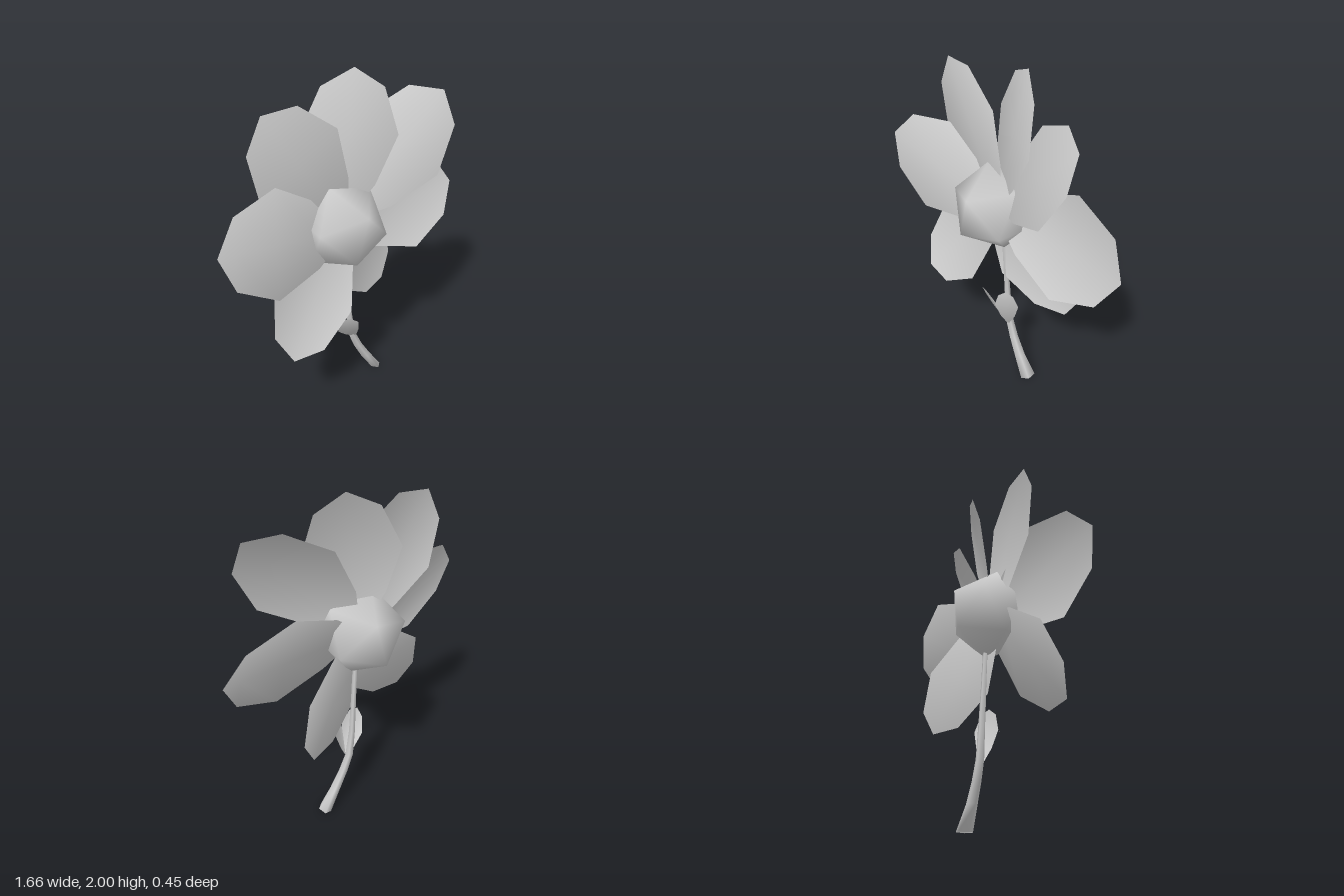
import * as THREE from 'three';

const grey = new THREE.MeshStandardMaterial({ color: 0xcccccc });
const sheet = new THREE.MeshStandardMaterial({ color: 0xcccccc, side: THREE.DoubleSide });

// Half outline shared by petals and leaves: [distance along, half width]
const OUTLINE = [[0, 0.12], [0.23, 0.62], [0.57, 1], [0.88, 0.63], [1, 0]];

// Thin blade running from base to tip, with softly domed normals
function blade(name, base, tip, half) {
  const b = new THREE.Vector3(...base);
  const along = new THREE.Vector3(...tip).sub(b);
  const across = new THREE.Vector3(...half);
  const normal = across.clone().cross(along).normalize();
  const alongDir = along.clone().normalize();
  const acrossDir = across.clone().normalize();
  const positions = [], normals = [], index = [];
  OUTLINE.forEach(([u, w], row) => {
    for (const side of [-1, 0, 1]) {
      const p = b.clone().addScaledVector(along, u).addScaledVector(across, w * side);
      const n = normal.clone()
        .addScaledVector(acrossDir, 0.35 * side * w)
        .addScaledVector(alongDir, 0.5 * (u - 0.5))
        .normalize();
      positions.push(...p.toArray());
      normals.push(...n.toArray());
    }
    if (row === 0) return;
    for (let c = 0; c < 2; c++) {
      const i = (row - 1) * 3 + c;
      index.push(i, i + 1, i + 4, i, i + 4, i + 3);
    }
  });
  const g = new THREE.BufferGeometry();
  g.setAttribute('position', new THREE.Float32BufferAttribute(positions, 3));
  g.setAttribute('normal', new THREE.Float32BufferAttribute(normals, 3));
  g.setIndex(index);
  const mesh = new THREE.Mesh(g, sheet);
  mesh.name = name;
  return mesh;
}

// Five-sided tapering tube with horizontal rings; rows are [x, y, z, radiusX, radiusZ]
function stemGeometry(rows, sides) {
  const positions = [], index = [];
  rows.forEach(([x, y, z, rx, rz], r) => {
    for (let s = 0; s < sides; s++) {
      const a = (s / sides) * Math.PI * 2;
      positions.push(x + rx * Math.sin(a), y, z + rz * Math.cos(a));
      if (r === 0) continue;
      const n = (s + 1) % sides, lo = (r - 1) * sides, hi = r * sides;
      index.push(lo + s, lo + n, hi + n, lo + s, hi + n, hi + s);
    }
  });
  for (let s = 1; s < sides - 1; s++) index.push(0, s + 1, s); // bottom cap
  const g = new THREE.BufferGeometry();
  g.setAttribute('position', new THREE.Float32BufferAttribute(positions, 3));
  g.setIndex(index);
  g.computeVertexNormals();
  return g;
}

export function createModel() {
  const model = new THREE.Group();
  model.name = 'flower';

  // Flower centre: smooth-shaded icosahedron
  const ball = new THREE.IcosahedronGeometry(0.258, 0);
  const p = ball.attributes.position, v = new THREE.Vector3();
  for (let i = 0; i < p.count; i++) {
    v.fromBufferAttribute(p, i).normalize();
    ball.attributes.normal.setXYZ(i, v.x, v.y, v.z);
  }
  const centre = new THREE.Mesh(ball, grey);
  centre.name = 'flowerCentre';
  centre.position.set(-0.04, 1.17, 0);
  centre.rotation.z = -0.26;
  model.add(centre);

  // Petals: base, tip, half-width vector
  const petals = new THREE.Group();
  petals.name = 'petals';
  const petalData = [
    ['upperRightPetal', [-0.03, 1.18, 0.005], [-0.48, 1.89, 0.005], [0.225, 0.155, 0]],
    ['topPetal', [-0.03, 1.21, 0], [0.1, 2, -0.09], [0.25, -0.02, 0.095]],
    ['upperLeftPetal', [-0.01, 1.21, 0], [0.61, 1.82, 0.015], [0.16, -0.17, 0.13]],
    ['leftPetal', [-0.03, 1.15, 0], [0.83, 1.16, -0.12], [-0.02, 0.285, -0.095]],
    ['lowerLeftPetal', [-0.03, 1.18, 0], [0.38, 0.56, -0.185], [0.2, 0.12, -0.1]],
    ['lowerRightPetal', [-0.03, 1.18, -0.02], [-0.475, 0.545, 0.21], [0.214, -0.128, 0.045]],
    ['rightPetal', [-0.02, 1.13, 0], [-0.835, 1.33, 0.195], [0.043, 0.28, -0.075]],
  ];
  for (const d of petalData) petals.add(blade(...d));
  model.add(petals);

  // Curved stem
  const stem = new THREE.Mesh(stemGeometry([
    [0.238, 0, -0.04, 0.034, 0.05],
    [0.155, 0.13, -0.032, 0.032, 0.033],
    [0.095, 0.24, -0.03, 0.028, 0.027],
    [0.05, 0.35, -0.03, 0.024, 0.024],
    [0.03, 0.52, -0.03, 0.018, 0.02],
    [0.015, 0.75, -0.025, 0.015, 0.016],
    [0.0, 1.0, -0.02, 0.014, 0.014],
  ], 5), grey);
  stem.name = 'stem';
  model.add(stem);

  // Two small leaves growing from the stem
  model.add(
    blade('rightLeaf', [0.065, 0.34, -0.01], [-0.08, 0.575, 0.08], [0.05, 0.04, 0.035]),
    blade('leftLeaf', [0.065, 0.34, -0.01], [0.115, 0.66, 0.05], [0.05, 0, -0.05]),
  );
  return model;
}
